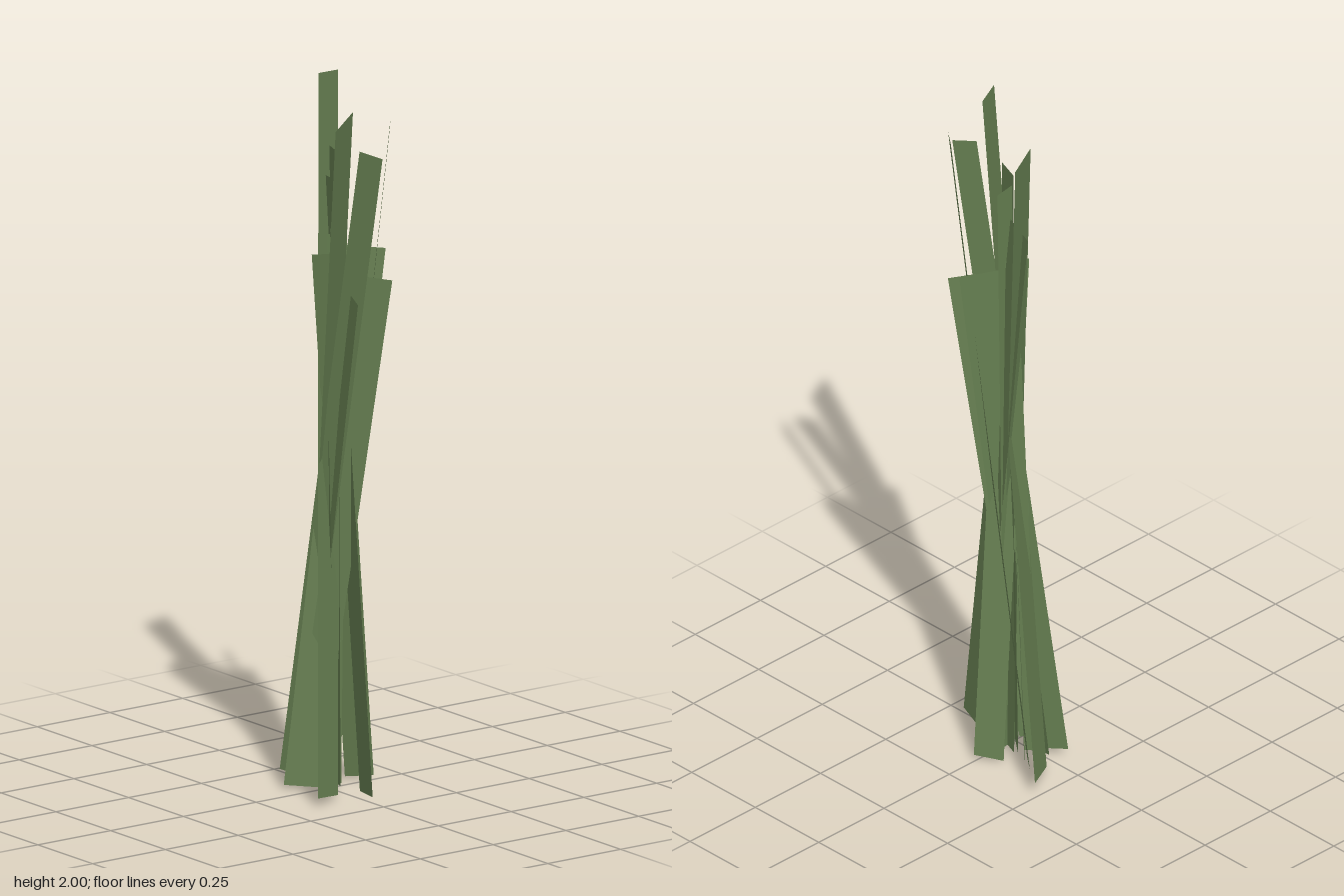
import * as THREE from 'three';

// Each blade: one top corner, the other top corner, and twice its centre in x and z
const BLADES = [
  [[-0.165, 1.945, 0.25], [-0.055, 1.97, 0.183], [0, 0]],
  [[0.05, 2.0, -0.115], [0.15, 1.985, -0.157], [0.004, -0.012]],
  [[0, 1.84, 0.245], [-0.03, 1.853, 0.18], [-0.045, 0.08]],
  [[0.055, 1.91, 0.205], [0.1, 1.915, 0.148], [0.15, 0.047]],
  [[-0.068, 1.53, 0.012], [-0.02, 1.54, 0.08], [0.08, 0.02]],
  [[0.137, 1.53, 0.077], [0.045, 1.54, 0.018], [0.027, 0.017]],
  [[-0.043, 1.42, 0.19], [-0.03, 1.435, 0.14], [-0.03, 0.04]],
  [[0.09, 1.465, 0.17], [0.03, 1.475, 0.12], [0.02, 0.09]],
  [[0.07, 1.71, -0.125], [0.035, 1.72, -0.02], [0.07, 0.075]],
  [[-0.03, 1.83, 0.08], [-0.005, 1.83, 0.01], [0.02, 0.03]],
  [[0, 1.8, 0.01], [0.065, 1.8, 0], [0.05, 0]],
  [[0.01, 1.57, -0.02], [0.035, 1.57, 0.01], [0.03, -0.08]],
  [[-0.03, 1.5, 0.06], [0, 1.5, 0.03], [0.03, -0.04]],
  [[0.015, 1.21, -0.005], [-0.03, 1.22, 0.055], [0.01, 0]],
  [[-0.03, 1.0, 0.04], [-0.01, 1.0, -0.01], [-0.01, 0.02]],
];

const material = new THREE.MeshStandardMaterial({
  color: 0x667f51, side: THREE.DoubleSide, flatShading: true,
});

// Flat rectangular blade; its foot is the top edge mirrored through the centre
function makeBlade([a, b, [cx, cz]]) {
  const topY = (a[1] + b[1]) / 2;
  const dx = a[0] + b[0] - cx, dz = a[2] + b[2] - cz;
  const rise = topY + (dx * dx + dz * dz) / (4 * topY) + 0.004;
  const mirror = (p) => [cx - p[0], Math.max(0, rise - p[1]), cz - p[2]];
  const geometry = new THREE.BufferGeometry();
  const corners = [a, b, mirror(b), mirror(a)].flat();
  geometry.setAttribute('position', new THREE.Float32BufferAttribute(corners, 3));
  geometry.setIndex([0, 2, 1, 1, 2, 3]);
  geometry.computeVertexNormals();
  return new THREE.Mesh(geometry, material);
}

export function createModel() {
  const tuft = new THREE.Group();
  tuft.name = 'grassTuft';
  BLADES.forEach((data, i) => {
    const blade = makeBlade(data);
    blade.name = `grassBlade${i + 1}`;
    tuft.add(blade);
  });
  return tuft;
}
